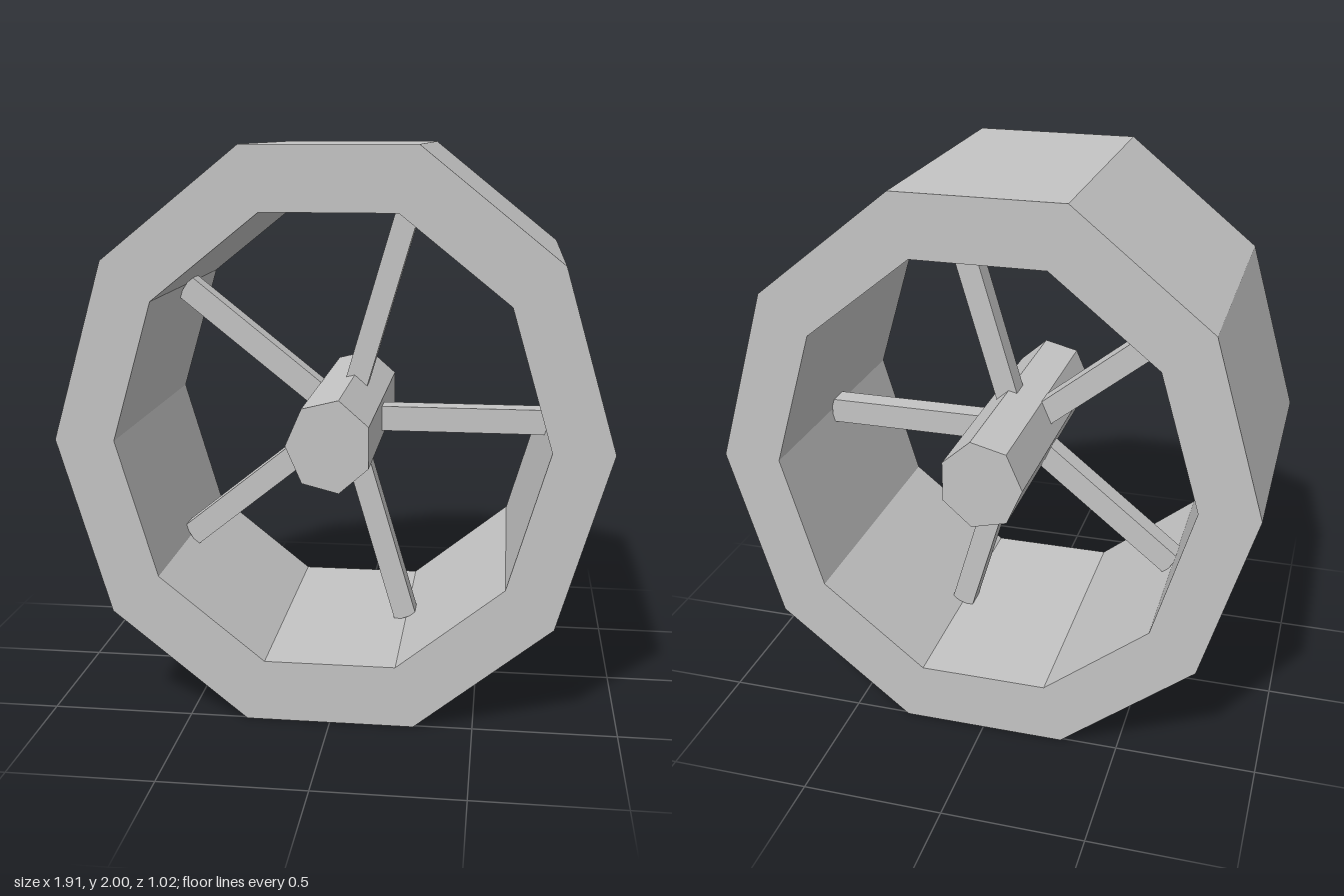
import * as THREE from 'three';

const DEPTH = 1.02;      // wheel width along z
const STRETCH = 1.103;   // the wheel is slightly taller than wide
const OUTER = 0.953, INNER = 0.745, HUB = 0.15;

// Regular polygon outline, first corner at the given angle
function polygon(Type, radius, sides, start = 0) {
  const pts = [];
  for (let i = 0; i < sides; i++) {
    const a = start + (i / sides) * Math.PI * 2;
    pts.push(new THREE.Vector2(radius * Math.cos(a), radius * STRETCH * Math.sin(a)));
  }
  return new Type(pts);
}

function extrude(shape) {
  const geo = new THREE.ExtrudeGeometry(shape, { depth: DEPTH, bevelEnabled: false });
  return geo.translate(0, 0, -DEPTH / 2);
}

export function createModel() {
  const grey = new THREE.MeshStandardMaterial({ color: 0xc4c4c4 });
  grey.name = 'lightGrey';
  const model = new THREE.Group();
  model.name = 'wheel';

  const add = (name, geometry) => {
    const mesh = new THREE.Mesh(geometry, grey);
    mesh.name = name;
    mesh.position.y = 1;
    model.add(mesh);
  };

  // Ten-sided rim, open through the middle
  const rim = polygon(THREE.Shape, OUTER, 10);
  rim.holes.push(polygon(THREE.Path, INNER, 10));
  add('rim', extrude(rim));

  // Seven-sided hub with a corner pointing to -x
  add('hub', extrude(polygon(THREE.Shape, HUB, 7, Math.PI)));

  // Five square spokes running to every second rim corner
  const length = 0.74, thick = 0.083;
  for (let i = 0; i < 5; i++) {
    const spoke = new THREE.BoxGeometry(length, thick, thick);
    spoke.translate(length / 2, 0, 0);
    spoke.rotateZ((i / 5) * Math.PI * 2);
    spoke.scale(1, STRETCH, 1);
    add('spoke' + (i + 1), spoke);
  }
  return model;
}
